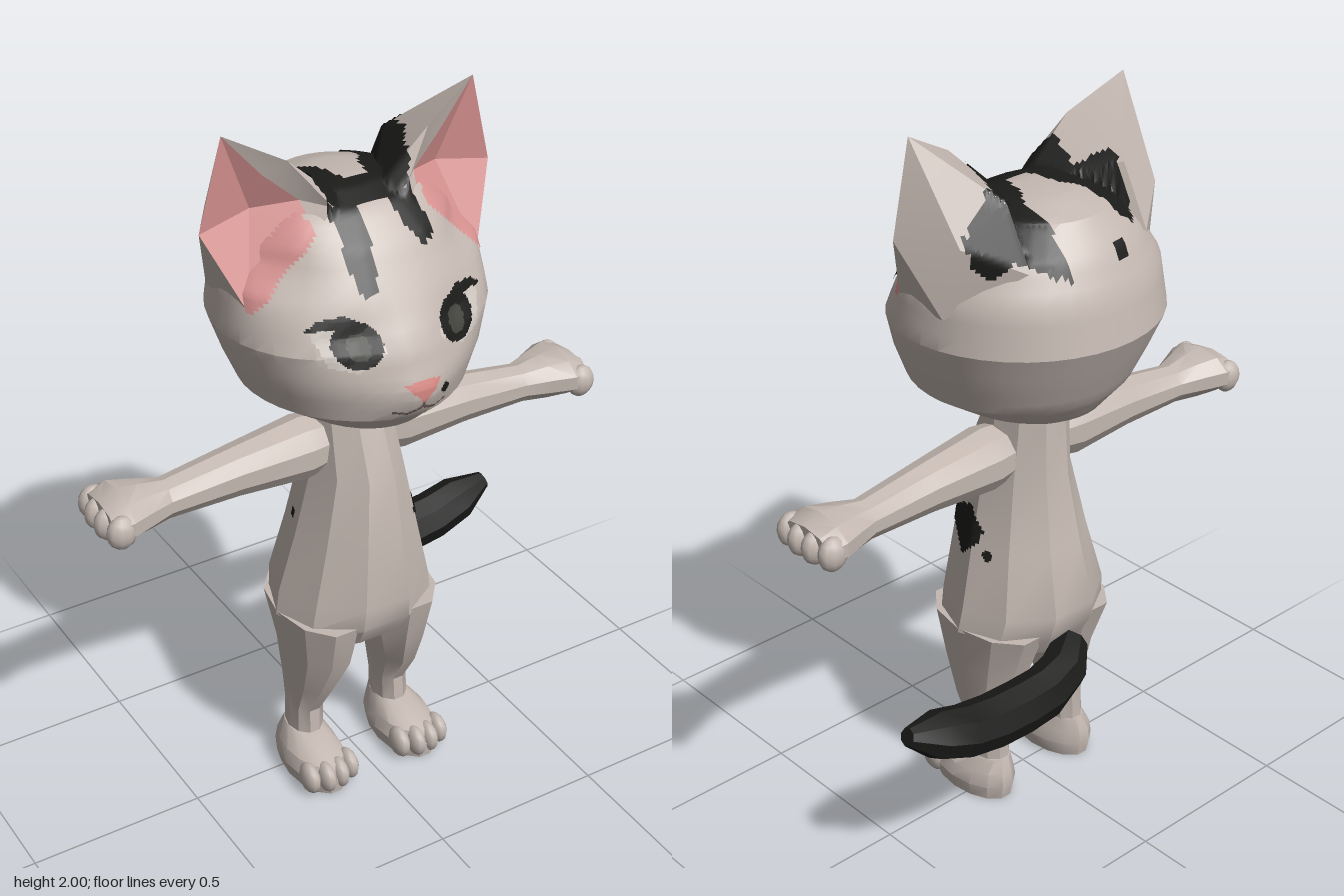
import * as THREE from 'three';
import { toCreasedNormals } from 'three/addons/utils/BufferGeometryUtils.js';

const V = (x, y, z) => new THREE.Vector3(x, y, z);
const mat = (name, color) => {
  const m = new THREE.MeshStandardMaterial({ color, side: THREE.DoubleSide });
  m.name = name;
  return m;
};

// Surface from points and triangle indices; s = -1 mirrors it to the other side
function surface(points, index, s = 1, crease = 0.46) {
  const g = new THREE.BufferGeometry();
  g.setAttribute('position', new THREE.Float32BufferAttribute(points.flatMap(p => [p.x * s, p.y, p.z]), 3));
  const idx = index.slice();
  if (s < 0) for (let i = 0; i < idx.length; i += 3) [idx[i], idx[i + 1]] = [idx[i + 1], idx[i]];
  g.setIndex(idx);
  return toCreasedNormals(g, crease);
}

// Closed skin over a row of rings, each with the same number of points
function loft(rings, s = 1, crease = 0.46) {
  const n = rings[0].length, pts = rings.flat(), idx = [];
  for (let i = 0; i < rings.length - 1; i++) {
    for (let j = 0; j < n; j++) {
      const k = (j + 1) % n, a = i * n + j, b = i * n + k;
      idx.push(a, b, b + n, a, b + n, a + n);
    }
  }
  for (const end of [0, rings.length - 1]) {
    const c = rings[end].reduce((sum, p) => sum.add(p), V(0, 0, 0)).divideScalar(n);
    const ci = pts.push(c) - 1;
    for (let j = 0; j < n; j++) {
      const a = end * n + j, b = end * n + (j + 1) % n;
      idx.push(...(end ? [ci, a, b] : [ci, b, a]));
    }
  }
  return surface(pts, idx, s, crease);
}

// Horizontal ring with its own centre x, half width, front z and back z
function ringY(y, cx, w, zf, zb, n, mid = (zf + zb) / 2) {
  return Array.from({ length: n }, (_, j) => {
    const t = (j + 0.5) / n * Math.PI * 2, c = Math.cos(t);
    return V(cx + w * Math.sin(t), y, mid + (c > 0 ? zf - mid : mid - zb) * c);
  });
}

const ellipse = (cx, cy, rx, ry = rx) => Array.from({ length: 20 }, (_, i) =>
  [cx + rx * Math.cos(i * Math.PI / 10), cy + ry * Math.sin(i * Math.PI / 10)]);

function inside(poly, x, y) {
  let hit = false;
  for (let i = 0, j = poly.length - 1; i < poly.length; j = i++) {
    const [xi, yi] = poly[i], [xj, yj] = poly[j];
    if ((yi > y) !== (yj > y) && x < (xj - xi) * (y - yi) / (yj - yi) + xi) hit = !hit;
  }
  return hit;
}

// Directions a marking is projected from: across, up, towards the viewer
const FROM = {
  front: [V(1, 0, 0), V(0, 1, 0), V(0, 0, 1)],
  back: [V(-1, 0, 0), V(0, 1, 0), V(0, 0, -1)],
  plusX: [V(0, 0, -1), V(0, 1, 0), V(1, 0, 0)],
  minusX: [V(0, 0, 1), V(0, 1, 0), V(-1, 0, 0)],
  top: [V(1, 0, 0), V(0, 0, -1), V(0, 1, 0)],
};

// Thin marking laid over the target meshes inside a flat outline
function drape(targets, poly, from, step = 0.01, lift = 0.004) {
  const [u, v, w] = FROM[from], ray = new THREE.Raycaster(), cache = new Map(), pts = [], idx = [];
  const vertex = (i, j) => {
    const key = i + ',' + j;
    if (!cache.has(key)) {
      const o = u.clone().multiplyScalar(i * step).addScaledVector(v, j * step).addScaledVector(w, 3);
      ray.set(o, w.clone().negate());
      const h = ray.intersectObjects(targets, false)[0];
      if (h) {
        const n = h.face.normal.clone();
        if (n.dot(w) < 0) n.negate();
        cache.set(key, pts.push(h.point.clone().addScaledVector(n, lift)) - 1);
      } else cache.set(key, -1);
    }
    return cache.get(key);
  };
  const range = k => [Math.min(...poly.map(p => p[k])), Math.max(...poly.map(p => p[k]))].map(a => Math.floor(a / step));
  const [i0, i1] = range(0), [j0, j1] = range(1);
  for (let i = i0; i <= i1; i++) {
    for (let j = j0; j <= j1; j++) {
      if (!inside(poly, (i + 0.5) * step, (j + 0.5) * step)) continue;
      const q = [vertex(i, j), vertex(i + 1, j), vertex(i + 1, j + 1), vertex(i, j + 1)];
      if (q.includes(-1)) continue;
      const d = q.map(k => pts[k].dot(w));
      if (Math.max(...d) - Math.min(...d) > 0.05) continue;
      idx.push(q[0], q[1], q[2], q[0], q[2], q[3]);
    }
  }
  return surface(pts, idx, 1, 0.8);
}

export function createModel() {
  const root = new THREE.Group();
  root.name = 'cat';
  const fur = mat('pale fur', 0xc4b8b1), black = mat('black fur', 0x1b1b1a), pink = mat('inner ear pink', 0xd69290);
  const nosePink = mat('nose pink', 0xd58682), eyeWhite = mat('eye white', 0xcfc7c0);
  const irisGrey = mat('iris grey', 0x41413c), mouthBrown = mat('mouth brown', 0x6e5a55);
  const add = (name, geo, m) => {
    const mesh = new THREE.Mesh(geo, m);
    mesh.name = name;
    root.add(mesh);
    return mesh;
  };
  const blob = (name, x, y, z, rx, ry, rz) =>
    add(name, new THREE.SphereGeometry(1, 10, 8).scale(rx, ry, rz).translate(x, y, z), fur);

  // Head: y, half width, front z, back z
  const profile = [[1.19, .13, .1, -.17], [1.225, .2, .26, -.23], [1.29, .3, .32, -.28], [1.38, .338, .335, -.325],
    [1.475, .37, .325, -.37], [1.6, .355, .25, -.345], [1.7, .29, .185, -.297], [1.77, .2, .115, -.235],
    [1.8, .11, .045, -.15], [1.808, .03, 0, -.08]];
  // Muzzle, nose bridge, eye sockets and ear hollows: x, y, spread x, spread y, push
  const bumps = [[0, 1.345, .1, .06, .03], [0, 1.42, .04, .06, .012], [.15, 1.5, .07, .05, -.02], [.28, 1.67, .08, .07, -.05]];
  const headRings = [];
  profile.forEach((row, i) => {
    const next = profile[i + 1];
    for (let k = 0; k < (next ? 3 : 1); k++) {
      const [y, w, zf, zb] = next ? row.map((a, c) => a + (next[c] - a) * k / 3) : row;
      const ring = ringY(y, 0, w, zf, zb, 40, Math.min(0, zf));
      for (const p of ring) if (p.z > 0) for (const [bx, by, sx, sy, dz] of bumps)
        p.z += dz * Math.exp(-(((Math.abs(p.x) - bx) / sx) ** 2) - ((p.y - by) / sy) ** 2);
      headRings.push(ring);
    }
  });
  const head = add('head', loft(headRings), fur);

  // Ears: tip, outer rim, inner rim, back, inner fold, hollow
  const earPts = [[.357, 2, .01], [.42, 1.755, 0], [.335, 1.555, .085], [.2, 1.915, .05], [.105, 1.79, .1],
    [.355, 1.56, -.1], [.33, 1.75, -.14], [.2, 1.84, -.155], [.03, 1.76, .05], [.2, 1.68, -.24],
    [.255, 1.88, .02], [.165, 1.8, .04], [.15, 1.73, .1], [.27, 1.6, .1], [.27, 1.78, -.02]].map(p => V(...p));
  const shell = [0, 1, 6, 1, 2, 5, 1, 5, 6, 0, 6, 7, 6, 5, 9, 6, 9, 7, 0, 7, 3, 3, 7, 8, 3, 8, 4, 7, 9, 8,
    0, 3, 10, 3, 4, 11, 3, 11, 10, 4, 12, 11];
  const hollowRim = [0, 10, 11, 12, 13, 2, 1];
  const hollow = hollowRim.flatMap((a, i) => [14, a, hollowRim[(i + 1) % 7]]);
  const ears = {};
  for (const s of [1, -1]) {
    const side = s > 0 ? 'left' : 'right';
    ears[side] = add(side + 'Ear', surface(earPts, shell, s), fur);
    add(side + 'InnerEar', surface(earPts, hollow, s), pink);
    const m = poly => poly.map(([x, y]) => [x * s, y]);
    add(side + 'InnerEarBase', drape([head], m([[.2, 1.83], [.4, 1.75], [.335, 1.56], [.25, 1.645], [.155, 1.74]]), 'front'), pink);

    // Eyes
    const almond = [[.245, 1.535], [.16, 1.56], [.1, 1.54], [.075, 1.48], [.15, 1.435], [.215, 1.455]];
    const lid = [[.075, 1.485], [.1, 1.54], [.16, 1.57], [.22, 1.56], [.255, 1.535], [.2, 1.54], [.15, 1.545], [.11, 1.525]];
    add(side + 'Eye', drape([head], m(almond), 'front', .006, .003), eyeWhite);
    add(side + 'EyeBlack', drape([head], m(ellipse(.143, 1.5, .06, .056)), 'front', .005, .005), black);
    add(side + 'Iris', drape([head], m(ellipse(.14, 1.495, .028, .032)), 'front', .005, .007), irisGrey);
    add(side + 'Eyelid', drape([head], m(lid), 'front', .005, .008), black);

    // Arm along x: x, centre y, half height, half depth
    const arm = [[.08, 1.065, .08, .075], [.15, 1.063, .09, .085], [.35, 1.055, .07, .067], [.55, 1.04, .054, .056],
      [.62, 1.045, .062, .085], [.68, 1.05, .063, .112], [.73, 1.045, .045, .1]];
    add(side + 'Arm', loft(arm.map(([x, y, ry, rz]) => Array.from({ length: 10 }, (_, j) => {
      const t = j / 10 * Math.PI * 2;
      return V(x, y + ry * Math.cos(t), -.005 + rz * Math.sin(t));
    })), s), fur);

    // Leg: y, centre x, half width, front z, back z
    const leg = [[.09, .143, .05, .055, -.08], [.2, .14, .05, .05, -.077], [.3, .137, .064, .11, -.092],
      [.42, .12, .092, .165, -.13], [.56, .12, .113, .2, -.185]];
    add(side + 'Leg', loft(leg.map(r => ringY(...r, 10)), s), fur);
    const foot = [[0, .15, .075, .185, -.095], [.045, .15, .086, .19, -.105], [.085, .15, .076, .17, -.1], [.125, .143, .05, .06, -.085]];
    add(side + 'Foot', loft(foot.map(r => ringY(...r, 14)), s), fur);
    for (let i = 0; i < 4; i++) {
      const o = i - 1.5, back = Math.abs(o) > 1 ? .018 : 0;
      blob(side + 'Finger', s * (.718 - back / 2), 1.04, -.003 + o * .055, .042, .047, .03);
      blob(side + 'Toe', s * (.15 + o * .042), .05, .158 - back, .025, .046, .046);
    }
  }

  // Body: y, centre x, half width, front z, back z
  const body = add('body', loft([[.48, 0, .2, .165, -.155], [.55, 0, .235, .21, -.2], [.62, 0, .222, .217, -.218], [.8, 0, .175, .2, -.177],
    [1, 0, .127, .178, -.142], [1.15, 0, .112, .115, -.134], [1.25, 0, .105, .09, -.125]].map(r => ringY(...r, 10))), fur);

  // Tail swept to the left
  const path = new THREE.CatmullRomCurve3([[-.01, .5, -.18], [.1, .46, -.245], [.28, .455, -.265], [.45, .475, -.265],
    [.57, .52, -.262], [.635, .545, -.26]].map(p => V(...p)));
  const tailR = [.05, .068, .072, .074, .074, .072, .066, .025];
  add('tail', loft(tailR.map((r, i) => {
    const c = path.getPointAt(i / 7), t = path.getTangentAt(i / 7);
    const a = V(0, 1, 0).addScaledVector(t, -t.y).normalize(), b = t.clone().cross(a);
    return Array.from({ length: 8 }, (_, j) => c.clone()
      .addScaledVector(a, r * Math.cos(j * Math.PI / 4)).addScaledVector(b, r * Math.sin(j * Math.PI / 4)));
  })), black);

  // Nose, mouth and cheek spot
  add('nose', drape([head], [[-.05, 1.392], [-.02, 1.4], [.02, 1.4], [.05, 1.392], [.02, 1.36], [0, 1.345], [-.02, 1.36]], 'front', .005, .006), nosePink);
  const smile = [[.004, 1.35], [.004, 1.332], [.04, 1.316], [.075, 1.325], [.075, 1.318], [.04, 1.309], [0, 1.324]];
  add('mouth', drape([head], [...smile, ...smile.slice(0, 6).reverse().map(([x, y]) => [-x, y])], 'front', .004), mouthBrown);
  add('cheekSpot', drape([head], ellipse(.07, 1.355, .014), 'front', .005), black);

  // Crown marking, outlined by x and z from above
  const crown = [[-.15, -.24], [-.1, -.22], [-.09, -.14], [-.04, -.08], [-.02, .01], [.05, .01], [.06, -.05], [.1, -.12],
    [.11, -.3], [.16, -.27], [.18, -.16], [.27, -.18], [.33, -.14], [.21, -.12], [.2, -.05], [.16, .01], [.13, .08],
    [.14, .17], [.1, .19], [.06, .16], [.05, .1], [-.04, .1], [-.04, .16], [-.06, .235], [-.1, .24], [-.12, .19],
    [-.11, .12], [-.15, .04], [-.13, -.05], [-.2, -.1], [-.19, -.18]].map(([x, z]) => [x, -z]);
  add('crownMarking', drape([head, ears.left, ears.right], crown, 'top'), black);
  add('earBackMarking', drape([head, ears.left], [[-.32, 1.78], [-.28, 1.76], [-.24, 1.83], [-.14, 1.83], [-.1, 1.76],
    [-.15, 1.67], [-.23, 1.71], [-.27, 1.67], [-.31, 1.71]], 'back'), black);
  add('headBackSpot', drape([head], ellipse(.05, 1.69, .024), 'back'), black);

  // Body spots
  add('sideMarking', drape([body], [[-.11, .88], [-.04, .9], [.02, .85], [0, .8], [-.05, .76], [-.1, .8], [-.13, .84]], 'plusX'), black);
  add('sideSpot', drape([body], ellipse(.04, .785, .015), 'plusX', .006), black);
  add('otherSideSpot', drape([body], ellipse(-.03, .84, .015), 'minusX', .006), black);
  return root;
}
